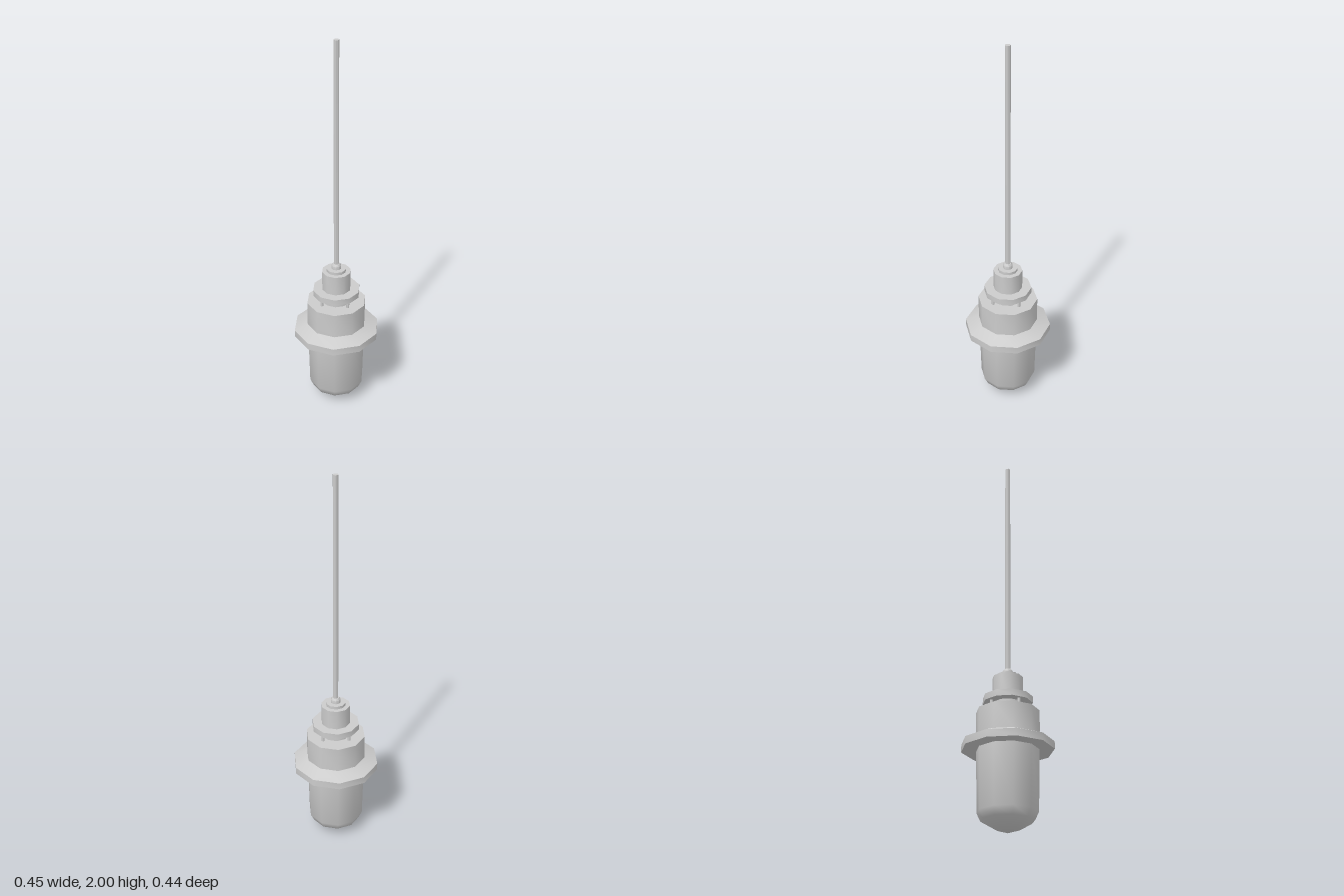
import * as THREE from 'three';
import { toCreasedNormals } from 'three/addons/utils/BufferGeometryUtils.js';

const SIDES = 10;
const START = Math.PI / 15;

export function createModel() {
  const model = new THREE.Group();
  model.name = 'pendantLamp';
  const grey = new THREE.MeshStandardMaterial({ color: 0xcccccc });

  // Ten-sided turned part from a [radius, y] profile, listed bottom to top
  function turned(name, profile, crease = 0.75) {
    const points = profile.map(([r, y]) => new THREE.Vector2(r, y));
    const lathe = new THREE.LatheGeometry(points, SIDES, START);
    const mesh = new THREE.Mesh(toCreasedNormals(lathe, crease), grey);
    mesh.name = name;
    model.add(mesh);
  }

  // Rounded glass cover hanging below the flange
  turned('globe', [[0, 0.004], [0.062, 0.024], [0.128, 0.062], [0.146, 0.1], [0.153, 0.405]], 0.9);

  // Housing with its wide sloping flange
  turned('flangedHousing', [
    [0, 0.4], [0.225, 0.4], [0.225, 0.437], [0.155, 0.465], [0.155, 0.597], [0, 0.597],
  ]);

  // Narrow neck and the raised collar around it
  turned('neck', [[0, 0.59], [0.075, 0.59], [0.075, 0.775], [0, 0.775]]);
  turned('collar', [[0, 0.638], [0.123, 0.638], [0.123, 0.67], [0, 0.67]]);

  // Posts carrying the collar
  for (let i = 0; i < 4; i++) {
    const angle = (i * Math.PI) / 2;
    const post = new THREE.Mesh(new THREE.CylinderGeometry(0.008, 0.008, 0.05, 8), grey);
    post.name = 'collarPost';
    post.position.set(0.095 * Math.cos(angle), 0.617, 0.095 * Math.sin(angle));
    model.add(post);
  }

  // Stepped cable gland
  turned('glandBase', [[0, 0.77], [0.051, 0.77], [0.051, 0.79], [0, 0.79]]);
  turned('glandNut', [[0, 0.785], [0.025, 0.785], [0.025, 0.808], [0.018, 0.818], [0, 0.818]]);

  // Long hanging rod
  turned('rod', [[0, 0.81], [0.0135, 0.81], [0.0135, 2], [0, 2]]);

  return model;
}
